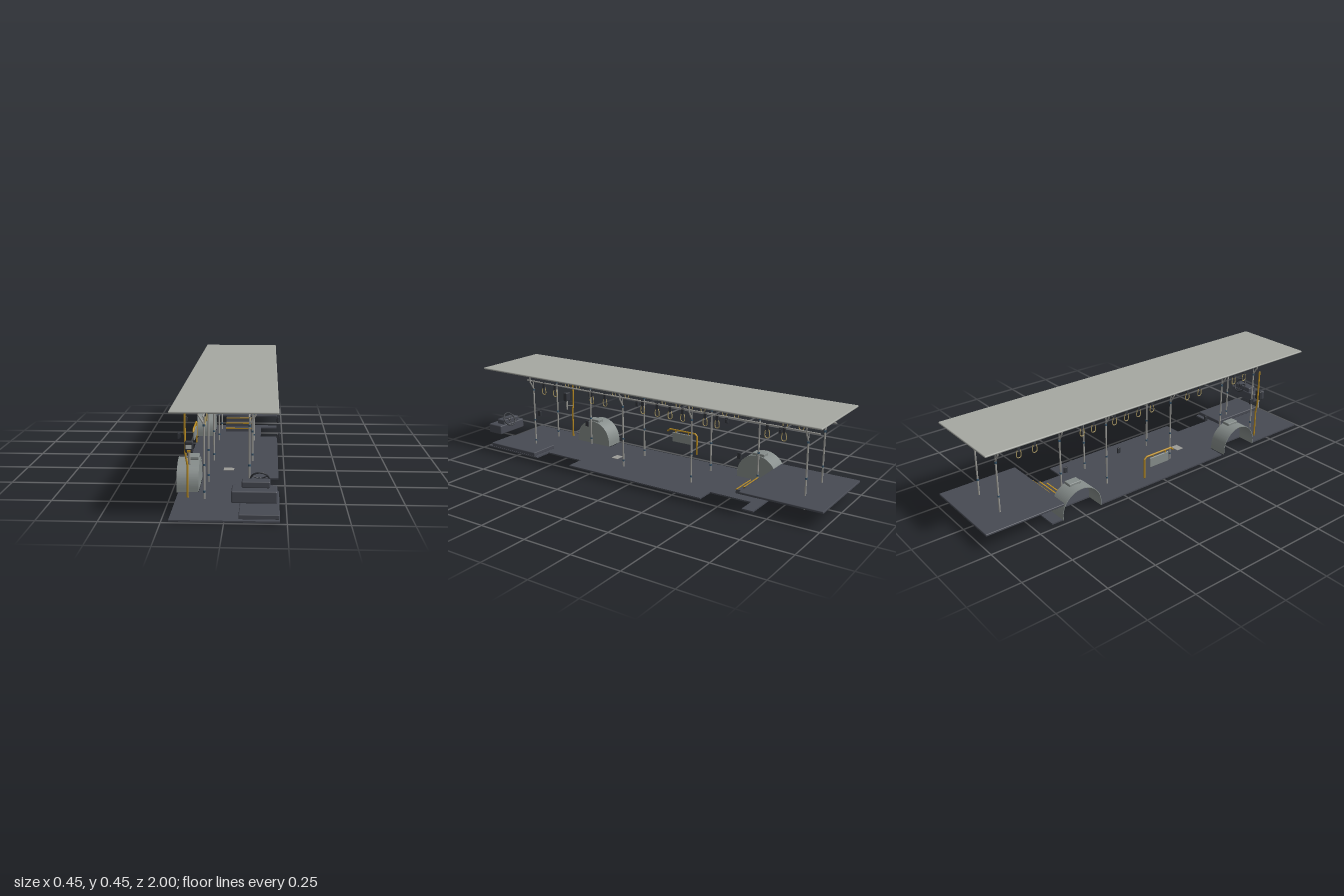
import * as THREE from 'three';
import { RoundedBoxGeometry } from 'three/addons/geometries/RoundedBoxGeometry.js';

const mat = (name, color, side = THREE.FrontSide) => {
  const m = new THREE.MeshStandardMaterial({ color, side });
  m.name = name;
  return m;
};

export function createModel() {
  const roofGrey = mat('roofGrey', 0xa6a8a2);
  const floorGrey = mat('floorGrey', 0x474a53);
  const archGrey = mat('archGrey', 0x868d8b);
  const metal = mat('metal', 0x9b9b97);
  const yellow = mat('yellow', 0xb98c22);
  const dark = mat('darkPlastic', 0x33363c);
  const blue = mat('jointBlue', 0x35536a);
  const lightGrey = mat('lightStripGrey', 0x7d7f7c);
  const screenGrey = mat('screenGrey', 0xb4b8b6);
  const strapTan = mat('strapTan', 0xb3a066);

  const model = new THREE.Group();
  model.name = 'busInterior';

  const add = (name, geo, material, parent = model) => {
    const mesh = new THREE.Mesh(geo, material);
    mesh.name = name;
    parent.add(mesh);
    return mesh;
  };
  // Box given by its limits, optionally with rounded edges
  const box = (name, material, [x0, x1], [y0, y1], [z0, z1], r = 0, parent = model) => {
    const s = [x1 - x0, y1 - y0, z1 - z0];
    const geo = r ? new RoundedBoxGeometry(...s, 2, r) : new THREE.BoxGeometry(...s);
    const mesh = add(name, geo, material, parent);
    mesh.position.set((x0 + x1) / 2, (y0 + y1) / 2, (z0 + z1) / 2);
    return mesh;
  };
  // Bent pipe made of straight runs
  const pipe = (name, material, points, r, parent = model) => {
    const path = new THREE.CurvePath();
    const v = points.map((p) => new THREE.Vector3(...p));
    for (let i = 1; i < v.length; i++) path.add(new THREE.LineCurve3(v[i - 1], v[i]));
    const g = new THREE.Group();
    g.name = name;
    parent.add(g);
    for (const c of path.curves) add(name + 'Run', new THREE.TubeGeometry(c, 1, r, 10), material, g);
    for (const p of v) add(name + 'Joint', new THREE.SphereGeometry(r, 10, 8), material, g).position.copy(p);
    return g;
  };

  // Roof and light strips
  box('roof', roofGrey, [-0.212, 0.214], [0.441, 0.45], [-0.967, 1], 0.004);
  for (const s of [-1, 1])
    for (let i = 0; i < 6; i++) {
      const z = 0.78 - i * 0.31;
      box('lightStrip', lightGrey, [s * 0.124 - 0.008, s * 0.124 + 0.008], [0.435, 0.442], [z - 0.13, z + 0.13]);
    }

  // Floor sections, narrow between the wheels
  const floorY = [0.001, 0.008];
  box('frontFloor', floorGrey, [-0.22, 0.222], floorY, [0.63, 0.987]);
  box('frontAisle', floorGrey, [-0.13, 0.13], floorY, [0.405, 0.63]);
  box('middleFloor', floorGrey, [-0.22, 0.222], floorY, [-0.39, 0.405]);
  box('rearAisle', floorGrey, [-0.13, 0.13], floorY, [-0.61, -0.39]);
  box('rearCrossFloor', floorGrey, [-0.22, 0.222], floorY, [-0.667, -0.61]);
  box('raisedRearFloor', floorGrey, [-0.22, 0.222], [0.075, 0.086], [-1, -0.592], 0.003);
  box('driverPlatform', floorGrey, [0.057, 0.22], [0.006, 0.027], [0.65, 0.967], 0.004);
  box('floorHatch', metal, [-0.04, 0.01], [0.008, 0.01], [0.25, 0.29]);

  // Steps to the raised floor, with yellow edges
  for (let i = 0; i < 3; i++) {
    const top = 0.028 + i * 0.0215, front = -0.5 - i * 0.04;
    box('step', floorGrey, [-0.072, 0.076], [0.006, top], [-0.625, front]);
    box('stepEdge', yellow, [-0.072, 0.076], [top - 0.004, top + 0.001], [front - 0.006, front + 0.001]);
  }

  // Wheel arches, open to the outside
  const archPath = (shape, r) => {
    shape.moveTo(r, 0.006);
    shape.lineTo(r, 0.027);
    shape.absarc(0, 0.027, r, 0, Math.PI, false);
    shape.lineTo(-r, 0.006);
    return shape;
  };
  for (const z of [0.522, -0.503]) {
    const arch = new THREE.Group();
    arch.name = 'wheelArch';
    arch.position.z = z;
    model.add(arch);
    const band = archPath(new THREE.Shape(), 0.109);
    band.lineTo(-0.106, 0.006);
    band.lineTo(-0.106, 0.027);
    band.absarc(0, 0.027, 0.106, Math.PI, 0, true);
    band.lineTo(0.106, 0.006);
    const shell = new THREE.ExtrudeGeometry(band, { depth: 0.097, bevelEnabled: false, curveSegments: 28 });
    add('archShell', shell.rotateY(Math.PI / 2), archGrey, arch).position.x = -0.228;
    const wall = new THREE.ShapeGeometry(archPath(new THREE.Shape(), 0.108), 28);
    add('archWall', wall.rotateY(Math.PI / 2), archGrey, arch).position.x = -0.132;
    box('archTopBox', archGrey, [-0.18, -0.136], [0.132, 0.147], [-0.035, 0.03], 0.003, arch);
  }

  // Grab poles with joints and an arm bent up to the roof
  const pole = (s, z) => {
    const g = new THREE.Group();
    g.name = 'grabPole';
    g.position.set(s * 0.095, 0, z);
    model.add(g);
    add('poleTube', new THREE.CylinderGeometry(0.0043, 0.0043, 0.32, 12), metal, g).position.y = 0.177;
    add('poleHanger', new THREE.CylinderGeometry(0.0025, 0.0025, 0.05, 10), metal, g).position.y = 0.36;
    for (const y of [0.05, 0.167, 0.337])
      add('poleJoint', new THREE.CylinderGeometry(0.0055, 0.0055, 0.009, 12), blue, g).position.y = y;
    pipe('roofArm', metal, [[0, 0.343, 0], [s * 0.024, 0.381, 0], [s * 0.029, 0.437, 0]], 0.0038, g);
  };
  for (const z of [0.748, 0.147, -0.262, -0.86]) for (const s of [-1, 1]) pole(s, z);
  for (const z of [0.507, -0.528]) pole(-1, z);

  // Overhead rails with hanging straps
  const ring = new THREE.CatmullRomCurve3(
    [[0.005, 0.361], [0.012, 0.338], [0.008, 0.323], [-0.008, 0.323], [-0.012, 0.338], [-0.005, 0.361]]
      .map(([z, y]) => new THREE.Vector3(0, y, z)), true);
  const ringGeo = new THREE.TubeGeometry(ring, 24, 0.0022, 6, true);
  const strapZ = [0.673, 0.595, 0.345, 0.26, 0.024, -0.062, -0.137, -0.21, -0.335, -0.4, -0.66, -0.743];
  for (const s of [-1, 1]) {
    const x = s * 0.095;
    pipe('overheadRail', metal, [[x, 0.384, 0.79], [x, 0.384, -0.91]], 0.0042);
    for (const z of strapZ) {
      box('strapBelt', dark, [x - 0.003, x + 0.003], [0.357, 0.389], [z - 0.007, z + 0.007]);
      add('strapRing', ringGeo, strapTan).position.set(x, 0, z);
    }
  }

  // Call buttons along the side walls
  const button = (s, z) => {
    const g = new THREE.Group();
    g.name = 'callButton';
    g.position.set(s * 0.218, 0.257, z);
    model.add(g);
    box('buttonBase', dark, [-0.004, 0.004], [-0.014, 0.014], [-0.009, 0.009], 0.002, g);
    const face = box('buttonFace', dark, [-0.004, 0.004], [-0.009, 0.009], [-0.006, 0.006], 0.002, g);
    face.position.x = -s * 0.005;
  };
  for (const z of [0.607, 0.28, -0.28, -0.582]) button(-1, z);
  for (const z of [0.6, 0.28, -0.587]) button(1, z);

  // Driver's dashboard and steering wheel
  box('dashboard', floorGrey, [0.029, 0.21], [0.081, 0.131], [0.9, 0.99], 0.006);
  box('instrumentHood', floorGrey, [0.069, 0.182], [0.131, 0.158], [0.9, 0.95], 0.005);
  const wheel = new THREE.Group();
  wheel.name = 'steeringWheel';
  wheel.position.set(0.14, 0.155, 0.9);
  wheel.rotation.x = 0.56;
  model.add(wheel);
  add('wheelRim', new THREE.TorusGeometry(0.037, 0.0035, 8, 32), dark, wheel);
  add('wheelHub', new THREE.SphereGeometry(0.009, 12, 8), dark, wheel).scale.z = 0.6;
  for (let i = 0; i < 3; i++) {
    const a = -Math.PI / 2 + (i * Math.PI * 2) / 3;
    pipe('wheelSpoke', dark, [[0, 0, 0], [0.036 * Math.cos(a), 0.036 * Math.sin(a), 0]], 0.0025, wheel);
  }
  pipe('steeringColumn', dark, [[0, 0, 0], [0, 0, 0.03]], 0.005, wheel);

  // Yellow pole and ticket reader by the front door
  pipe('yellowPole', yellow,
    [[-0.171, 0.008, 0.702], [-0.171, 0.155, 0.702], [-0.18, 0.208, 0.702], [-0.18, 0.389, 0.702]], 0.0045);
  box('readerBody', dark, [-0.177, -0.142], [0.217, 0.266], [0.72, 0.745], 0.005);
  box('readerScreen', screenGrey, [-0.172, -0.147], [0.234, 0.252], [0.744, 0.747]);
  box('readerButton', yellow, [-0.167, -0.152], [0.219, 0.229], [0.744, 0.748]);
  pipe('readerStem', metal, [[-0.159, 0.168, 0.732], [-0.159, 0.22, 0.732]], 0.0055);
  pipe('readerArm', metal, [[-0.159, 0.19, 0.732], [-0.175, 0.19, 0.702]], 0.003);

  // Side panel with a yellow handrail
  box('sidePanel', archGrey, [-0.209, -0.201], [0.09, 0.142], [-0.08, 0.04], 0.003);
  pipe('sideHandrail', yellow,
    [[-0.205, 0.143, 0.07], [-0.205, 0.156, 0.055], [-0.205, 0.156, -0.1], [-0.205, 0.145, -0.113], [-0.205, 0.045, -0.113]], 0.0045);
  for (const z of [0.02, -0.06])
    pipe('panelHanger', yellow, [[-0.205, 0.14, z], [-0.205, 0.156, z]], 0.003);

  return model;
}
